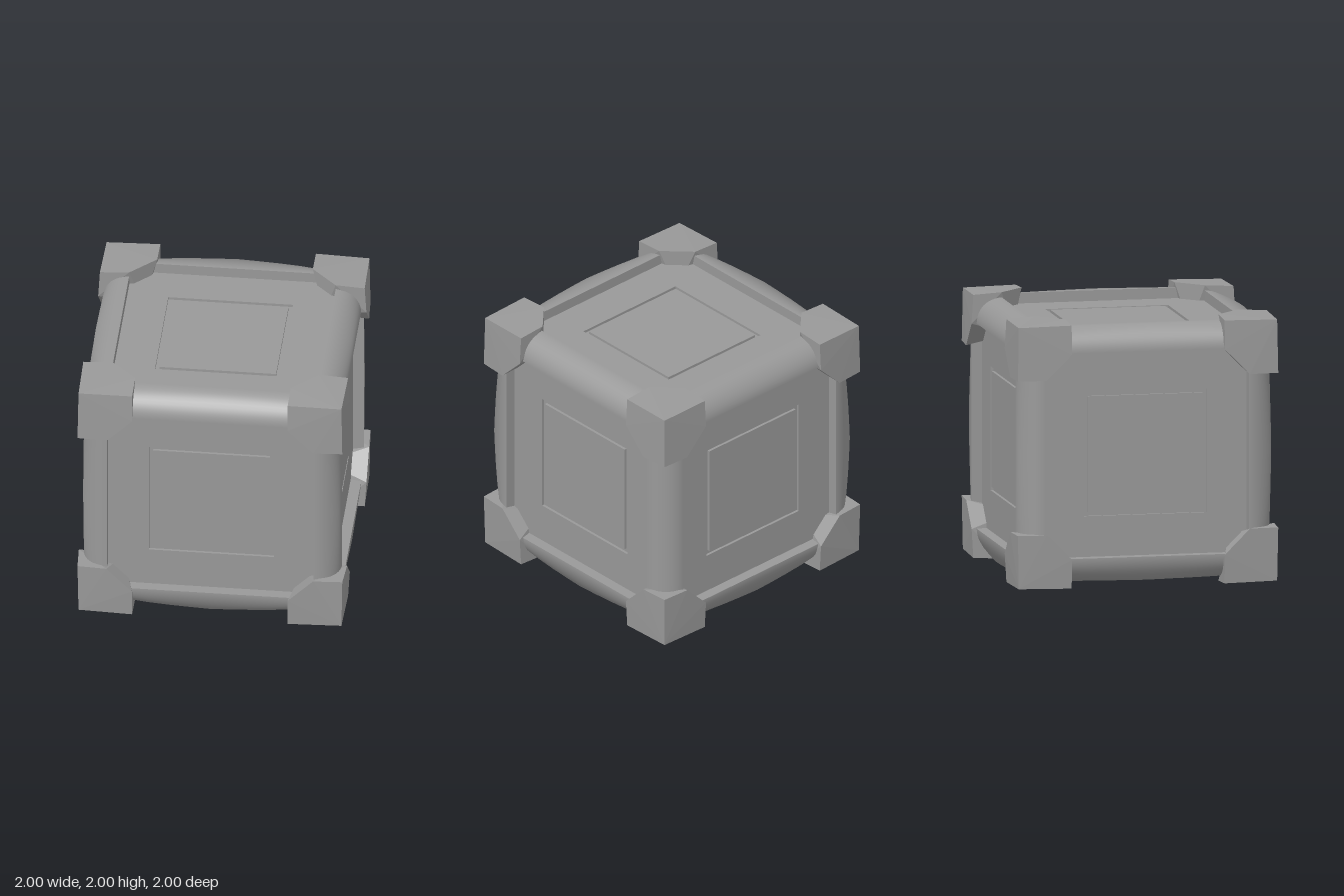
import * as THREE from 'three';
import { ConvexGeometry } from 'three/addons/geometries/ConvexGeometry.js';

const INNER = 0.77;  // inner border of the edge bars
const BAR = 0.96;    // outer reach of the edge bars
const PANEL = 0.88;  // height of the face panels
const BLOCK = 0.58;  // where the corner blocks begin

// Square face plate with a narrow, straight-walled groove; faces +y
function panelGeometry() {
  const floor = PANEL - 0.02;
  const steps = [[0.82, PANEL], [0.465, PANEL], [0.465, floor], [0.435, floor], [0.435, PANEL], [0, PANEL]];
  const points = steps.map(([half, y]) => new THREE.Vector2(half * Math.SQRT2, y));
  return new THREE.LatheGeometry(points, 4).rotateY(Math.PI / 4);
}

// Rounded bar along z at the +x +y edge, fuller in the middle of its length
function barGeometry() {
  const along = 8, around = 12, half = 0.62, size = BAR - INNER, foot = PANEL - 0.02;
  const positions = [], normals = [], index = [];
  const row = around + 5;
  for (let i = 0; i <= along; i++) {
    const t = (i / along) * 2 - 1;
    const n = 2 + 2.5 * (1 - Math.abs(t));
    const add = (x, y, nx, ny) => {
      positions.push(x, y, t * half);
      normals.push(nx, ny, 0);
    };
    // inner wall, rounded outside, inner wall
    add(foot, INNER, 0, -1);
    add(BAR, INNER, 0, -1);
    for (let j = 0; j <= around; j++) {
      const a = (j / around) * Math.PI / 2;
      const c = Math.max(0, Math.cos(a)), s = Math.sin(a);
      const r = size / Math.pow(c ** n + s ** n, 1 / n);
      add(INNER + r * c, INNER + r * s, c, s);
    }
    add(INNER, BAR, -1, 0);
    add(INNER, foot, -1, 0);
  }
  for (let i = 0; i < along; i++) {
    for (let j = 0; j < row - 1; j++) {
      const a = i * row + j, b = a + 1, c = a + row, d = c + 1;
      index.push(a, b, c, b, d, c);
    }
  }
  const geometry = new THREE.BufferGeometry();
  geometry.setAttribute('position', new THREE.Float32BufferAttribute(positions, 3));
  geometry.setAttribute('normal', new THREE.Float32BufferAttribute(normals, 3));
  geometry.setIndex(index);
  return geometry;
}

// Corner block at +x +y +z: outer corner drawn in slightly, inner edges chamfered
function blockGeometry() {
  const v = (x, y, z) => new THREE.Vector3(x, y, z);
  const points = [v(0.98, 0.98, 0.98), v(0.675, 0.675, 0.675)];
  const cycle = (x, y, z) => points.push(v(x, y, z), v(z, x, y), v(y, z, x));
  cycle(0.987, 0.987, BLOCK);
  cycle(1, BLOCK, INNER);
  cycle(1, INNER, BLOCK);
  return new ConvexGeometry(points);
}

export function createModel() {
  const model = new THREE.Group();
  const smooth = new THREE.MeshStandardMaterial({ color: 0x999999, side: THREE.DoubleSide });
  const flat = new THREE.MeshStandardMaterial({ color: 0x999999, flatShading: true, side: THREE.DoubleSide });
  const quarter = Math.PI / 2;

  const add = (name, geometry, material, rx, ry, rz) => {
    const mesh = new THREE.Mesh(geometry, material);
    mesh.name = name;
    mesh.rotation.set(rx, ry, rz);
    mesh.position.y = 1;
    model.add(mesh);
  };

  // Six face panels
  const panel = panelGeometry();
  for (let k = 0; k < 4; k++) add('facePanel', panel, flat, k * quarter, 0, 0);
  for (const s of [-1, 1]) add('facePanel', panel, flat, 0, 0, s * quarter);

  // Twelve edge bars: four along each axis
  const bar = barGeometry();
  for (let k = 0; k < 4; k++) {
    add('edgeBar', bar, smooth, 0, 0, k * quarter);
    add('edgeBar', bar, smooth, quarter, 0, k * quarter);
    add('edgeBar', bar, smooth, 0, quarter, k * quarter);
  }

  // Eight corner blocks: four on top, four below
  const block = blockGeometry();
  for (let k = 0; k < 4; k++) {
    add('cornerBlock', block, flat, 0, k * quarter, 0);
    add('cornerBlock', block, flat, Math.PI, k * quarter, 0);
  }
  return model;
}
